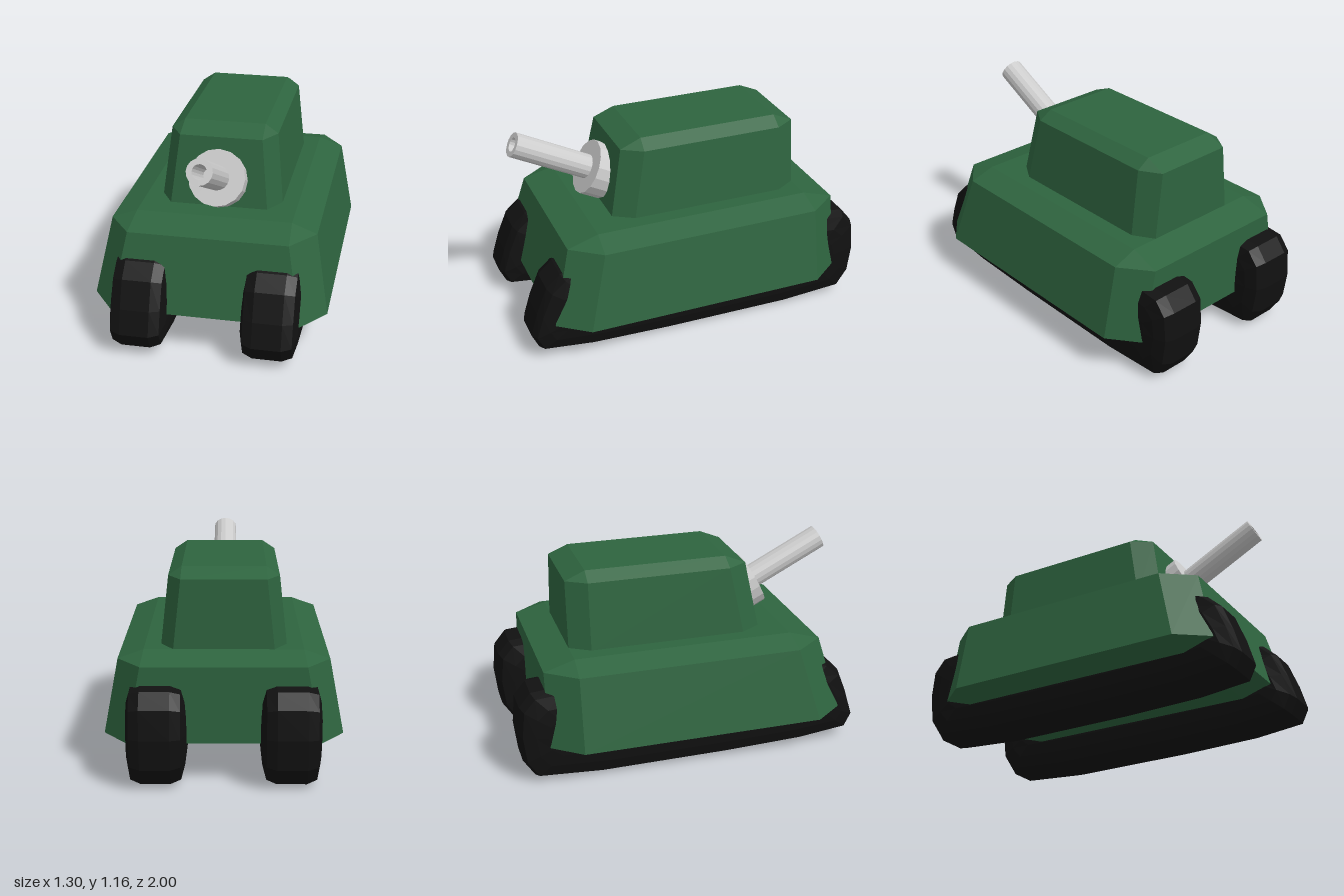
import * as THREE from 'three';

const paint = (color) => new THREE.MeshStandardMaterial({ color, flatShading: true });
const green = paint(0x2e643f);
const black = paint(0x111111);
const grey = paint(0xcccccc);

// Skin a stack of equal-length rings and close both ends.
function loft(name, rings, material) {
  const pos = [];
  const tri = (a, b, c) => {
    const area = b.clone().sub(a).cross(c.clone().sub(a)).length();
    if (area > 1e-7) for (const p of [a, b, c]) pos.push(p.x, p.y, p.z);
  };
  const n = rings[0].length;
  for (let i = 0; i < rings.length - 1; i++) {
    for (let j = 0; j < n; j++) {
      const k = (j + 1) % n;
      const [lo, hi] = [rings[i], rings[i + 1]];
      tri(lo[j], lo[k], hi[k]);
      tri(lo[j], hi[k], hi[j]);
    }
  }
  const first = rings[0], last = rings[rings.length - 1];
  for (let j = 1; j < n - 1; j++) {
    tri(first[0], first[j + 1], first[j]);
    tri(last[0], last[j], last[j + 1]);
  }
  const geo = new THREE.BufferGeometry();
  geo.setAttribute('position', new THREE.Float32BufferAttribute(pos, 3));
  geo.computeVertexNormals();
  const mesh = new THREE.Mesh(geo, material);
  mesh.name = name;
  return mesh;
}

// Horizontal rectangle with cut corners: height, half width, front z, back z, cut in x and z.
function section(y, w, zf, zb, cx = 0, cz = 0) {
  const half = [[w - cx, zf], [w, zf - cz], [w, zb + cz], [w - cx, zb]];
  const other = half.map(([x, z]) => [-x, z]).reverse();
  return [...half, ...other].map(([x, z]) => new THREE.Vector3(x, y, z));
}

// Side outline of a track as [z, y], running forward over the top and back underneath.
const trackOutline = [
  [-0.92, 0.54], [-0.78, 0.553], [0.72, 0.545], [0.82, 0.505], [0.9, 0.43], [0.96, 0.28],
  [1, 0.145], [0.96, 0.06], [0.67, 0.025], [0.2, 0.01], [-0.55, 0.005],
  [-0.915, 0.03], [-0.98, 0.13], [-1, 0.3], [-0.985, 0.46],
];

function track(name, x) {
  // [side offset, inset of the outline]
  const half = [[0.163, 0.16], [0.155, 0.09], [0.135, 0.02], [0.08, 0]];
  const steps = [
    ...half.map(([dx, d]) => [-dx, d]),
    ...half.slice().reverse(),
  ];
  const rings = steps.map(([dx, d]) => trackOutline.map(([z, y]) =>
    new THREE.Vector3(x + dx, 0.28 + (y - 0.28) * (1 - d / 0.28), z * (1 - d))));
  return loft(name, rings, black);
}

function createGun() {
  const gun = new THREE.Group();
  gun.name = 'gun';

  // Round mount set into the turret face
  const mount = new THREE.Mesh(new THREE.CylinderGeometry(0.158, 0.158, 0.12, 16), grey);
  mount.name = 'gunMount';
  mount.position.y = -0.06;

  // Hollow barrel
  const profile = [[0.07, -0.04], [0.07, 0.47], [0.04, 0.47], [0.04, 0.17], [0, 0.17]]
    .map(([r, y]) => new THREE.Vector2(r, y));
  const barrel = new THREE.Mesh(new THREE.LatheGeometry(profile, 16), grey);
  barrel.name = 'gunBarrel';

  gun.add(mount, barrel);
  gun.position.set(0, 0.893, 0.507);
  gun.rotation.x = 1.098;
  return gun;
}

export function createModel() {
  const model = new THREE.Group();
  model.name = 'tank';

  // Hull with sloped sides and beveled edges
  model.add(loft('hull', [
    section(0.175, 0.525, 0.71, -0.665),
    section(0.23, 0.65, 0.88, -0.84, 0.13, 0.17),
    section(0.65, 0.57, 0.768, -0.84, 0.13, 0.17),
    section(0.7, 0.43, 0.59, -0.665),
  ], green));

  // Turret
  model.add(loft('turret', [
    section(0.69, 0.343, 0.457, -0.665, 0.07, 0.115),
    section(1.08, 0.3, 0.382, -0.665, 0.07, 0.115),
    section(1.13, 0.227, 0.262, -0.55),
  ], green));

  model.add(track('leftTrack', 0.36), track('rightTrack', -0.36));
  model.add(createGun());
  return model;
}
